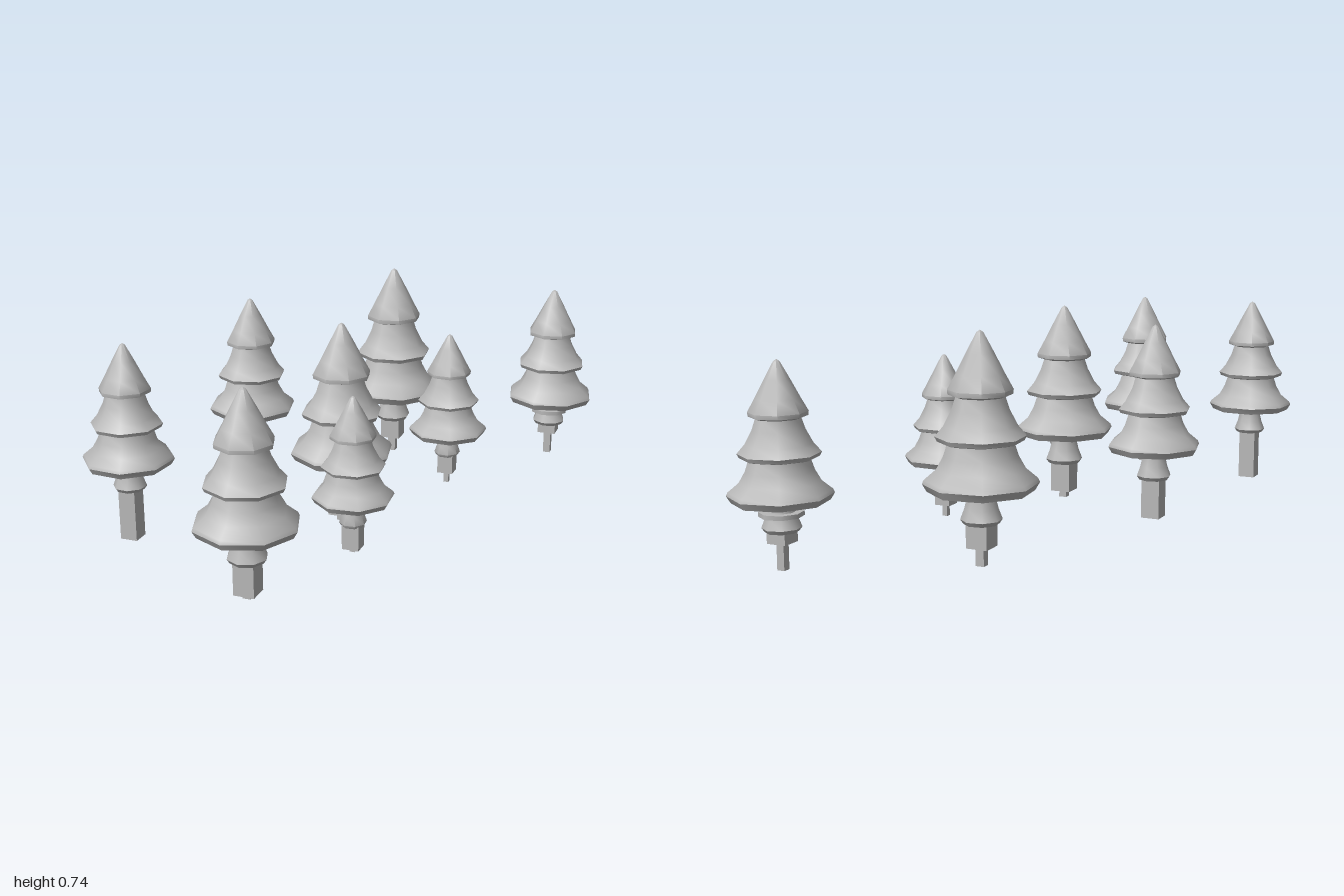
import * as THREE from 'three';
import { toCreasedNormals } from 'three/addons/utils/BufferGeometryUtils.js';

const grey = new THREE.MeshStandardMaterial({ color: 0xb8b8b8 });
grey.name = 'plain grey';

// Eight-sided turned solid, smooth around and sharp at its rims; points run bottom to top
function turned(points, radius, y0, y1) {
  const profile = points.map(([r, t]) => new THREE.Vector2(r * radius, y0 + t * (y1 - y0)));
  return toCreasedNormals(new THREE.LatheGeometry(profile, 8), 0.87);
}

// Three flared tiers under a pointed top: [radius fraction, height fraction]
const foliageProfile = [
  [0, 0], [0.92, 0], [1, 0.05], [0.97, 0.075], [0.76, 0.14], [0.64, 0.22], [0.57, 0.3],
  [0.74, 0.315], [0.78, 0.345], [0.63, 0.41], [0.49, 0.51], [0.42, 0.59],
  [0.55, 0.605], [0.56, 0.635], [0.42, 0.73], [0.24, 0.86], [0.06, 0.985], [0, 1],
];
const flareProfile = [[0, 0], [0.85, 0], [1, 0.13], [0.8, 0.45], [0.68, 0.75], [0.62, 1], [0, 1]];

// Bases from the bottom up: post, block, flare, foliage, tip
const trees = [
  { x: 0.49, z: -0.845, turn: 10, r: 0.161, tip: 0.643, skirt: 0.213, flare: 0.12, block: 0.085, post: 0, fr: 0.061, bw: 0.033, pw: 0.013, collar: true },
  { x: -0.065, z: -0.61, turn: 15, r: 0.176, tip: 0.732, skirt: 0.25, flare: 0.15, block: 0.077, post: 0.02, fr: 0.064, bw: 0.035, pw: 0.014 },
  { x: 0.255, z: -0.26, turn: 25, r: 0.135, tip: 0.604, skirt: 0.243, flare: 0.165, block: 0.102, post: 0.063, fr: 0.045, bw: 0.027, pw: 0.009 },
  { x: -0.413, z: -0.085, turn: 8, r: 0.151, tip: 0.713, skirt: 0.305, flare: 0.215, block: 0.09, fr: 0.056, bw: 0.03 },
  { x: 0.022, z: 0.175, turn: 10, r: 0.17, tip: 0.735, skirt: 0.283, flare: 0.183, block: 0.084, post: 0.06, fr: 0.064, bw: 0.035, pw: 0.013 },
  { x: 0.17, z: 0.47, turn: 17, r: 0.128, tip: 0.6, skirt: 0.262, flare: 0.183, block: 0.108, post: 0.095, fr: 0.043, bw: 0.027, pw: 0.009 },
  { x: -0.517, z: 0.615, turn: 27, r: 0.144, tip: 0.734, skirt: 0.345, flare: 0.262, block: 0.098, fr: 0.053, bw: 0.028 },
  { x: -0.022, z: 0.83, turn: 3, r: 0.162, tip: 0.717, skirt: 0.285, flare: 0.19, block: 0.088, post: 0.073, fr: 0.062, bw: 0.033, pw: 0.013 },
];

function add(group, name, geometry, y = 0, turn = 0) {
  const mesh = new THREE.Mesh(geometry, grey);
  mesh.name = name;
  mesh.position.y = y;
  mesh.rotation.y = -THREE.MathUtils.degToRad(turn);
  group.add(mesh);
}

function square(half, y0, y1) {
  return new THREE.BoxGeometry(half * 2, y1 - y0, half * 2).translate(0, (y0 + y1) / 2, 0);
}

function makeTree(t) {
  const tree = new THREE.Group();
  tree.name = 'pineTree';
  tree.position.set(t.x, 0, t.z);
  add(tree, 'foliage', turned(foliageProfile, t.r, t.skirt, t.tip), 0, t.turn);
  add(tree, 'trunkFlare', turned(flareProfile, t.fr, t.flare, t.skirt + 0.005), 0, t.turn);
  add(tree, 'trunkBlock', square(t.bw, t.block, t.flare + 0.005));
  if (t.pw) add(tree, 'groundPost', square(t.pw, t.post, t.block + 0.005));
  // Thin disc around the upper trunk
  if (t.collar) add(tree, 'trunkCollar', toCreasedNormals(new THREE.CylinderGeometry(0.069, 0.069, 0.014, 8), 0.87), 0.175, t.turn);
  return tree;
}

export function createModel() {
  const grove = new THREE.Group();
  grove.name = 'pineGrove';
  for (const t of trees) grove.add(makeTree(t));
  return grove;
}
